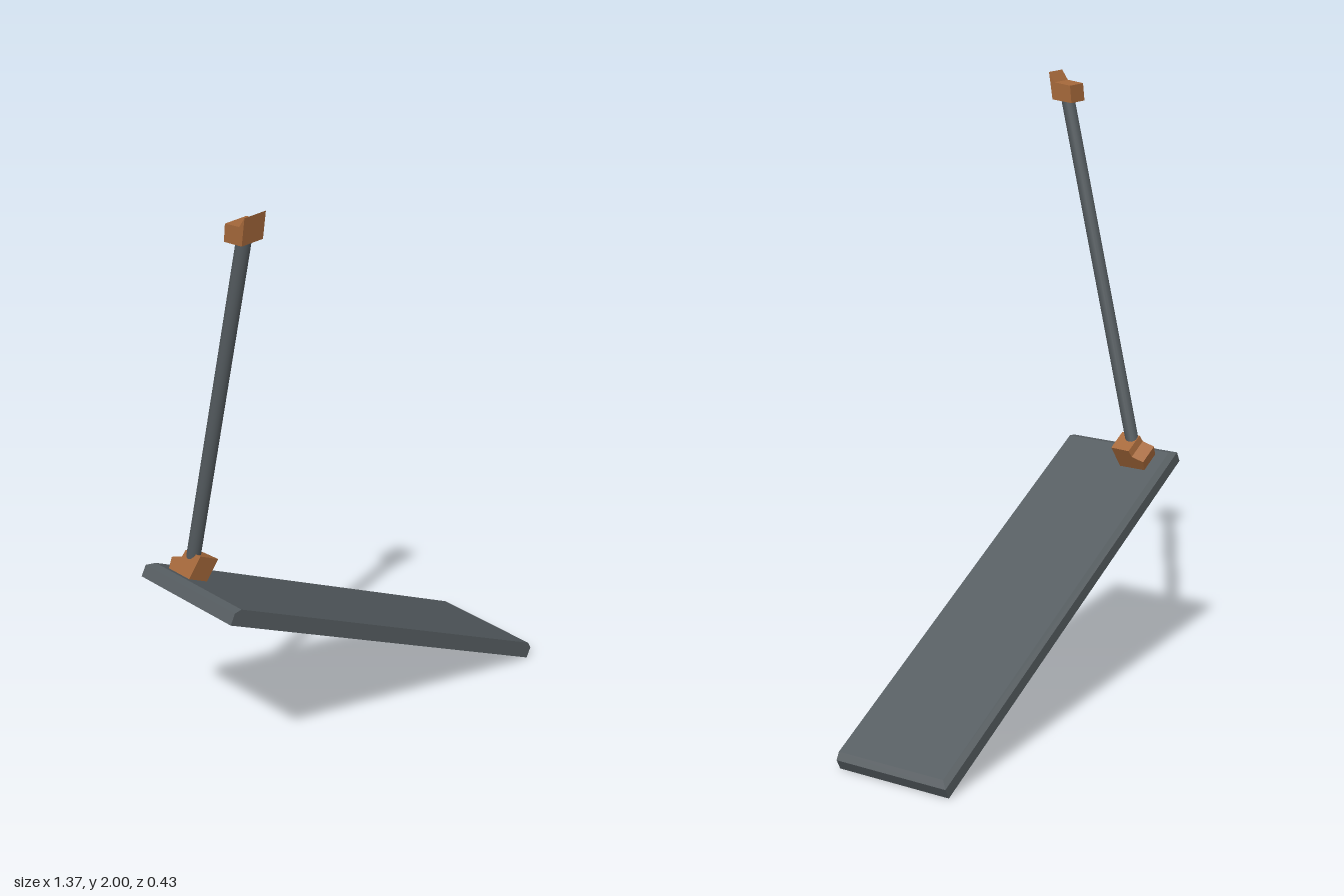
import * as THREE from 'three';
import { ConvexGeometry } from 'three/addons/geometries/ConvexGeometry.js';

const steel = new THREE.MeshStandardMaterial({ color: 0x555c60 });
const bronze = new THREE.MeshStandardMaterial({ color: 0xa5683a });

function addMesh(parent, name, geometry, material) {
  const mesh = new THREE.Mesh(geometry, material);
  mesh.name = name;
  parent.add(mesh);
  return mesh;
}

// Bracket: a [z, y] side profile extruded along x and centred on it
function bracketGeometry(profile, width) {
  const shape = new THREE.Shape(profile.map(([z, y]) => new THREE.Vector2(z, y)));
  const geometry = new THREE.ExtrudeGeometry(shape, { depth: width, bevelEnabled: false });
  geometry.translate(0, 0, -width / 2);
  geometry.rotateY(-Math.PI / 2);
  return geometry;
}

// Board with top edges bevelled on both ends and the back, square at the front
function boardGeometry(length, thickness, front, back) {
  const bevel = 0.022, shoulder = 0.038;
  const points = [];
  for (const [y, inset] of [[0, 0], [shoulder, 0], [thickness, bevel]]) {
    for (const x of [inset, length - inset]) {
      points.push(new THREE.Vector3(x, y, front));
      points.push(new THREE.Vector3(x, y, back + inset * 0.75));
    }
  }
  return new ConvexGeometry(points);
}

export function createModel() {
  const model = new THREE.Group();
  model.name = 'leaningBoardWithRod';

  // Sloping board and the bracket fixed on its upper end
  const slope = new THREE.Group();
  slope.name = 'slopingBoard';
  slope.position.set(-0.686, 0.717, 0);
  slope.rotation.z = -Math.atan2(0.717, 1.355);
  model.add(slope);
  addMesh(slope, 'board', boardGeometry(1.533, 0.053, 0.19, -0.215), steel);

  const lower = addMesh(slope, 'lowerBracket', bracketGeometry([
    [-0.064, 0], [-0.156, 0], [-0.161, 0.04], [-0.122, 0.056], [-0.116, 0.08], [-0.05, 0.083],
  ], 0.08), bronze);
  lower.position.set(0.081, 0.049, 0);

  // Slanted rod
  const start = new THREE.Vector3(-0.578, 0.77, -0.1);
  const end = new THREE.Vector3(-0.578, 1.93, 0.17);
  const axis = end.clone().sub(start);
  const rod = addMesh(model, 'rod', new THREE.CylinderGeometry(0.022, 0.022, axis.length(), 16), steel);
  rod.position.copy(start).add(end).multiplyScalar(0.5);
  rod.quaternion.setFromUnitVectors(new THREE.Vector3(0, 1, 0), axis.normalize());

  // Upper bracket with its raised front lip
  const upper = addMesh(model, 'upperBracket', bracketGeometry([
    [0.127, 1.905], [0.2, 1.912], [0.214, 2.0], [0.192, 1.968], [0.133, 1.961],
  ], 0.08), bronze);
  upper.position.x = -0.578;

  return model;
}
